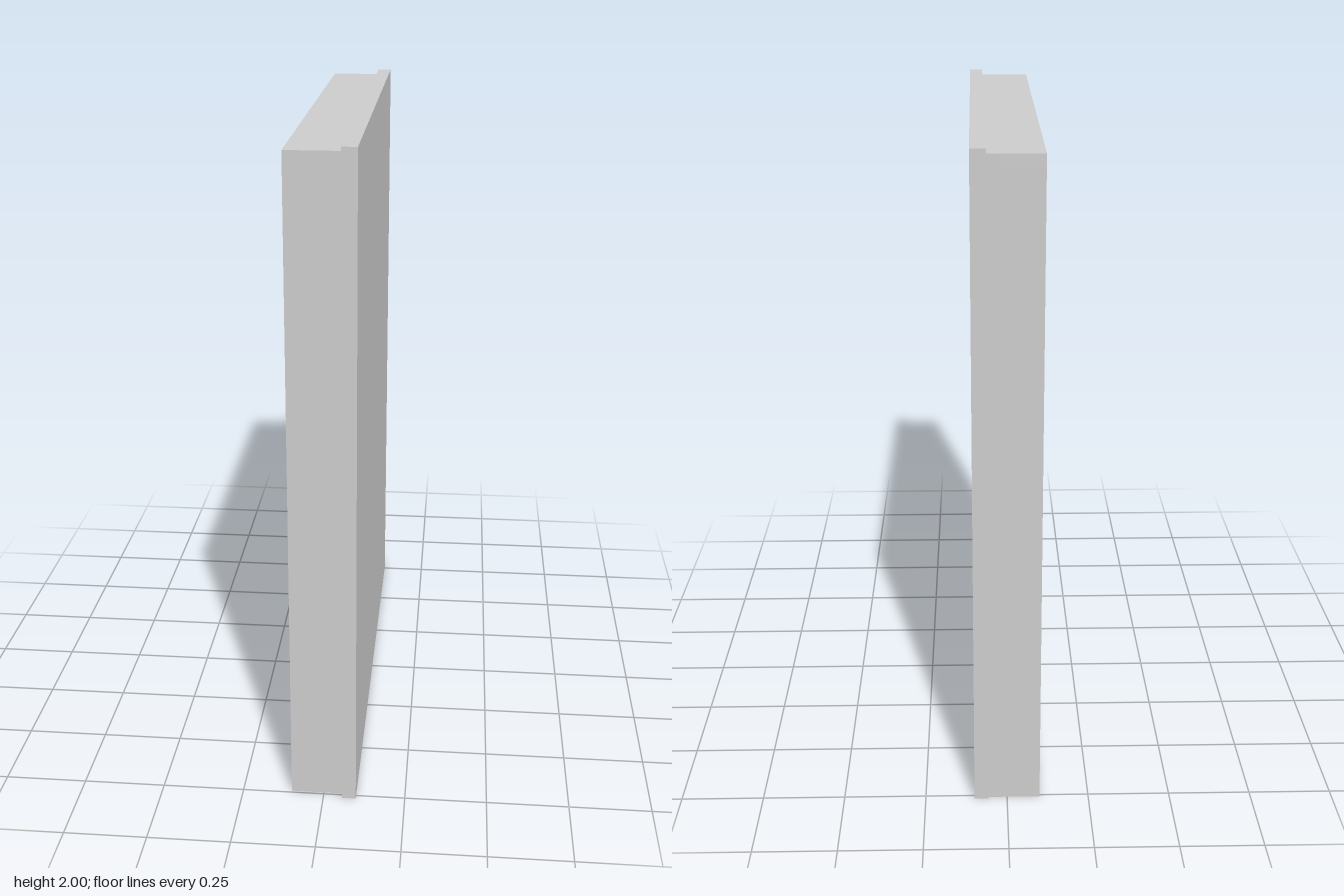
import * as THREE from 'three';

export function createModel() {
  const model = new THREE.Group();
  const material = new THREE.MeshStandardMaterial({ color: 0xcccccc, flatShading: true });

  // Box given by its limits on each axis
  function board(name, [x0, x1], [y0, y1], [z0, z1]) {
    const mesh = new THREE.Mesh(new THREE.BoxGeometry(x1 - x0, y1 - y0, z1 - z0), material);
    mesh.name = name;
    mesh.position.set((x0 + x1) / 2, (y0 + y1) / 2, (z0 + z1) / 2);
    model.add(mesh);
  }

  const open = -0.1, inner = 0.02, joint = 0.057; // depth planes along x
  const zMin = -0.758, zMax = 0.743, mid = (zMin + zMax) / 2;
  const top = 1.985, t = 0.02;
  const floorTop = 0.07, ceiling = top - 0.032;

  // Door leaf and the case fixed behind it
  board('doorPanel', [joint, 0.1], [0, 2], [-0.765, 0.765]);
  board('caseBacking', [inner, joint], [0, top], [zMin, zMax]);
  board('caseTop', [open, inner], [ceiling, top], [zMin, zMax]);
  board('caseBottom', [open, inner], [0, floorTop], [zMin, zMax]);

  // Uprights
  board('sideBoardRear', [open, inner], [floorTop, ceiling], [zMin, zMin + t]);
  board('sideBoardFront', [open, inner], [floorTop, ceiling], [zMax - t, zMax]);
  board('centreDivider', [open, inner], [floorTop, ceiling], [mid - t / 2, mid + t / 2]);

  // Shelves, set back slightly from the open side
  const bays = [[zMin + t, mid - t / 2], [mid + t / 2, zMax - t]];
  for (const bay of bays) {
    for (const y of [0.3, 0.55, 0.777, 1.35, 1.605, 1.8]) {
      board('shelf', [open + 0.02, inner], [y - 0.027, y], bay);
    }
  }
  return model;
}
